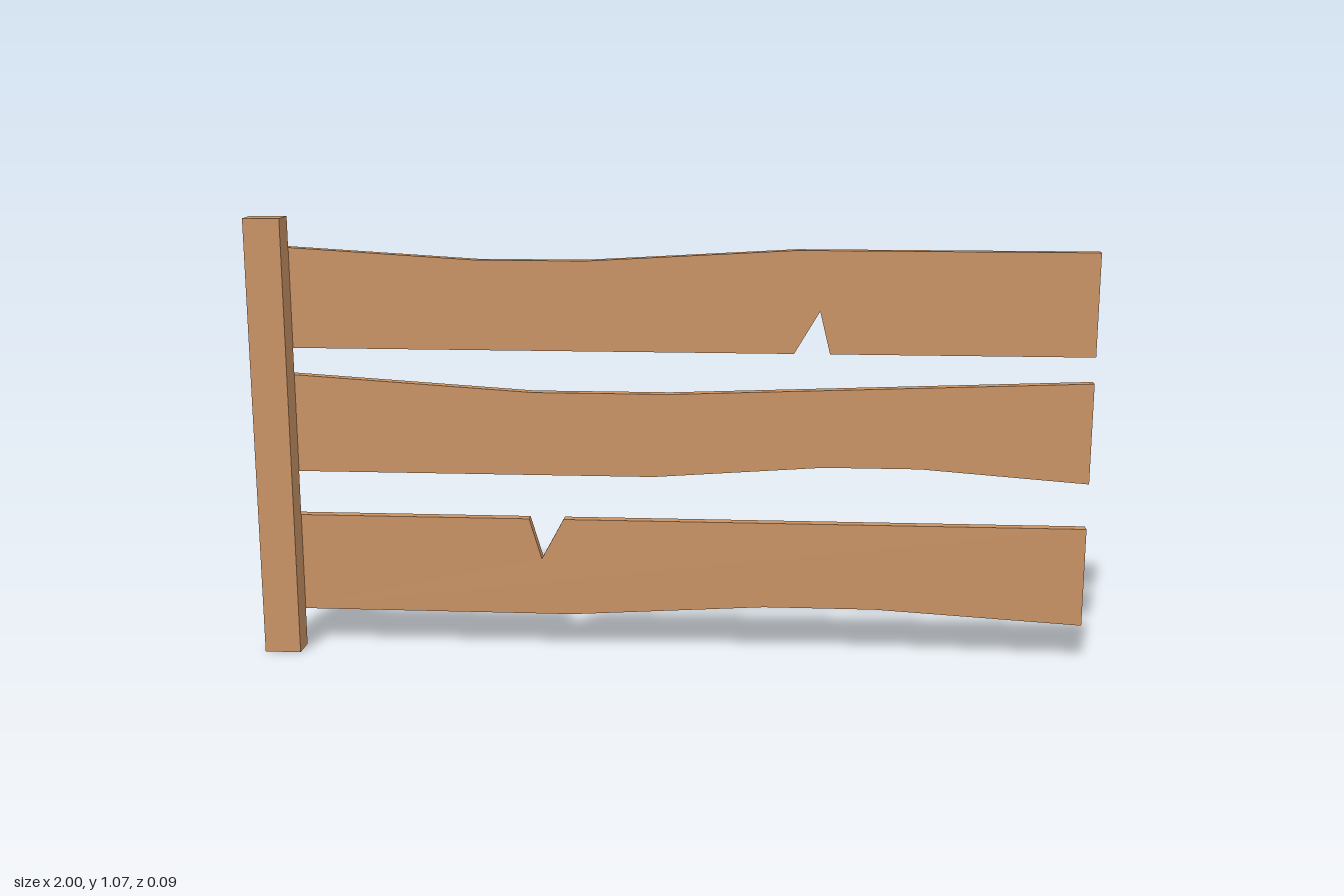
import * as THREE from 'three';

export function createModel() {
  const group = new THREE.Group();
  const wood = new THREE.MeshStandardMaterial({ color: 0xc89264 });
  wood.name = 'wood';

  // Upright post at the right end, standing in front of the planks
  const post = new THREE.Mesh(new THREE.BoxGeometry(0.088, 1.07, 0.063), wood);
  post.name = 'post';
  post.position.set(-0.956, 0.535, 0.0135);
  group.add(post);

  // Warped planks: outlines run counter-clockwise from the lower right-hand end
  const planks = {
    topPlank: [
      [-0.96, 0.753], [0.295, 0.753], [0.355, 0.855], [0.38, 0.753], [1, 0.753],
      [1, 0.998], [0.3, 0.998], [-0.2, 0.969], [-0.46, 0.969], [-0.96, 0.998],
    ],
    middlePlank: [
      [-0.96, 0.447], [-0.04, 0.447], [0.37, 0.477], [0.6, 0.477], [1, 0.447],
      [1, 0.69], [0, 0.651], [-0.33, 0.651], [-0.96, 0.69],
    ],
    bottomPlank: [
      [-0.96, 0.094], [-0.24, 0.094], [0.23, 0.123], [0.5, 0.123], [1, 0.094],
      [1, 0.336], [-0.26, 0.336], [-0.315, 0.235], [-0.345, 0.336], [-0.96, 0.336],
    ],
  };

  for (const [name, outline] of Object.entries(planks)) {
    const shape = new THREE.Shape(outline.map(([x, y]) => new THREE.Vector2(x, y)));
    const geometry = new THREE.ExtrudeGeometry(shape, { depth: 0.027, bevelEnabled: false });
    const plank = new THREE.Mesh(geometry, wood);
    plank.name = name;
    plank.position.z = -0.045;
    group.add(plank);
  }

  return group;
}
